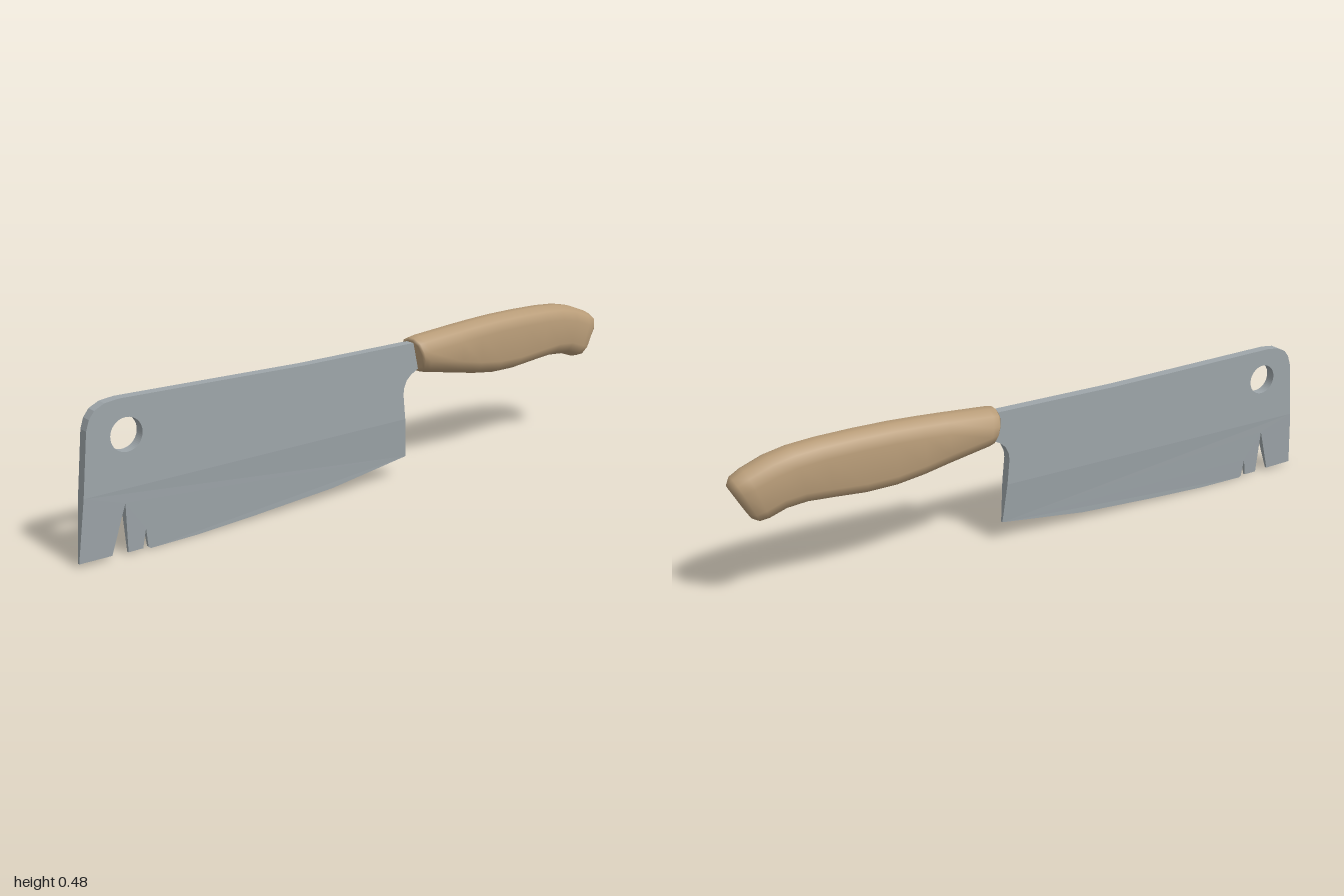
import * as THREE from 'three';

const SPLIT = 0.2;      // height where the bevel of the blade begins
const THICK = 0.016;    // half thickness of the spine
const EDGE = 0.004;     // half thickness of the cutting edge

// Height of the cutting edge along z
const edgeLine = [[-0.155, 0.07], [0.14, 0.03], [0.43, 0.012], [0.62, 0.003], [0.78, 0.002], [0.85, 0.008], [1, 0.013]];
function edgeHeight(z) {
  for (let i = 1; i < edgeLine.length; i++) {
    const [z0, y0] = edgeLine[i - 1], [z1, y1] = edgeLine[i];
    if (z <= z1) return THREE.MathUtils.lerp(y0, y1, THREE.MathUtils.clamp((z - z0) / (z1 - z0), 0, 1));
  }
  return edgeLine.at(-1)[1];
}

// Extrude a (z, y) outline across x, thin it toward the edge, and open the seam at the split
function bladePart(points, hole) {
  const shape = new THREE.Shape(points.map(([z, y]) => new THREE.Vector2(z, y)));
  if (hole) shape.holes.push(hole);
  const geo = new THREE.ExtrudeGeometry(shape, { depth: 2, bevelEnabled: false, curveSegments: 28 });
  geo.translate(0, 0, -1).rotateY(-Math.PI / 2);
  const p = geo.attributes.position, kept = [];
  for (let t = 0; t < p.count; t += 3) {
    if ([0, 1, 2].every(k => Math.abs(p.getY(t + k) - SPLIT) < 1e-5)) continue;
    for (let k = t; k < t + 3; k++) {
      const y = p.getY(k), z = p.getZ(k), e = edgeHeight(z);
      const f = THREE.MathUtils.clamp((y - e) / (SPLIT - e), 0, 1);
      kept.push(Math.sign(p.getX(k)) * THREE.MathUtils.lerp(EDGE, THICK, f), y, z);
    }
  }
  const out = new THREE.BufferGeometry();
  out.setAttribute('position', new THREE.Float32BufferAttribute(kept, 3));
  out.computeVertexNormals();
  return out;
}

// Loft rounded twelve-sided sections: [top z, top y, bottom z, bottom y, half width]
function handleGeometry(sections) {
  const pos = [], index = [], n = 12;
  for (const [tz, ty, bz, by, w] of sections) {
    const h = Math.hypot(ty - by, tz - bz) / 2, s = w / 0.058;
    const quarter = [[w, h - Math.min(0.045 * s, h * 0.85)], [0.043 * s, h - 0.014 * s], [0.014 * s, h]];
    const left = quarter.map(([x, y]) => [-x, y]).reverse();
    const upper = [...quarter, ...left];
    const ring = [...upper, ...upper.map(([x, y]) => [-x, -y])];
    for (const [x, y] of ring) {
      const f = (y / h + 1) / 2;
      pos.push(x, THREE.MathUtils.lerp(by, ty, f), THREE.MathUtils.lerp(bz, tz, f));
    }
  }
  const last = (sections.length - 1) * n, c0 = sections.length * n;
  for (const [tz, ty, bz, by] of [sections[0], sections.at(-1)]) pos.push(0, (ty + by) / 2, (tz + bz) / 2);
  for (let i = 0; i < n; i++) {
    const j = (i + 1) % n;
    for (let a = 0; a < last; a += n) {
      index.push(a + i, a + n + i, a + j, a + j, a + n + i, a + n + j);
    }
    index.push(c0, i, j, c0 + 1, last + j, last + i);
  }
  const geo = new THREE.BufferGeometry();
  geo.setAttribute('position', new THREE.Float32BufferAttribute(pos, 3));
  geo.setIndex(index);
  geo.computeVertexNormals();
  return geo;
}

export function createModel() {
  const model = new THREE.Group();
  model.name = 'cleaver';
  const steel = new THREE.MeshStandardMaterial({ color: 0x9ea6aa });
  const wood = new THREE.MeshStandardMaterial({ color: 0xb89c78 });
  const add = (name, geo, mat, parent) => {
    const mesh = new THREE.Mesh(geo, mat);
    mesh.name = name;
    parent.add(mesh);
  };

  const blade = new THREE.Group();
  blade.name = 'blade';
  model.add(blade);

  // Upper blade: rounded nose, spine, tang inside the handle, and hanging hole
  const hole = new THREE.Path().absarc(0.842, 0.353, 0.049, 0, Math.PI * 2, true);
  add('upperBlade', bladePart([
    [0.98, SPLIT], [0.96, 0.385], [0.95, 0.415], [0.933, 0.437], [0.902, 0.452], [0.858, 0.457],
    [0.25, 0.443], [-0.16, 0.443], [-0.25, 0.44], [-0.25, 0.37], [-0.19, 0.355],
    [-0.165, 0.342], [-0.147, 0.326], [-0.136, 0.302], [-0.134, 0.28], [-0.142, SPLIT],
  ], hole), steel, blade);

  // Lower blade: bevel with two notches near the tip
  add('cuttingBevel', bladePart([
    [0.98, SPLIT], [-0.142, SPLIT], [-0.155, 0.07], [0.14, 0.03], [0.43, 0.012], [0.62, 0.003], [0.78, 0.002],
    [0.787, 0.008], [0.794, 0.067], [0.804, 0.008], [0.85, 0.008], [0.856, 0.158], [0.9, 0.011], [1, 0.013],
  ]), steel, blade);

  // Handle: rounded front, belly, and drooping butt
  add('handle', handleGeometry([
    [-0.172, 0.447, -0.193, 0.355, 0.047],
    [-0.178, 0.455, -0.2, 0.346, 0.055],
    [-0.2, 0.459, -0.22, 0.34, 0.058],
    [-0.35, 0.47, -0.35, 0.316, 0.058],
    [-0.43, 0.475, -0.43, 0.3, 0.058],
    [-0.52, 0.479, -0.52, 0.288, 0.058],
    [-0.63, 0.48, -0.61, 0.287, 0.058],
    [-0.74, 0.478, -0.71, 0.296, 0.058],
    [-0.82, 0.472, -0.79, 0.302, 0.058],
    [-0.885, 0.459, -0.85, 0.297, 0.058],
    [-0.955, 0.433, -0.9, 0.28, 0.057],
    [-0.988, 0.415, -0.926, 0.277, 0.05],
    [-1, 0.392, -0.945, 0.288, 0.036],
  ]), wood, model);

  return model;
}
